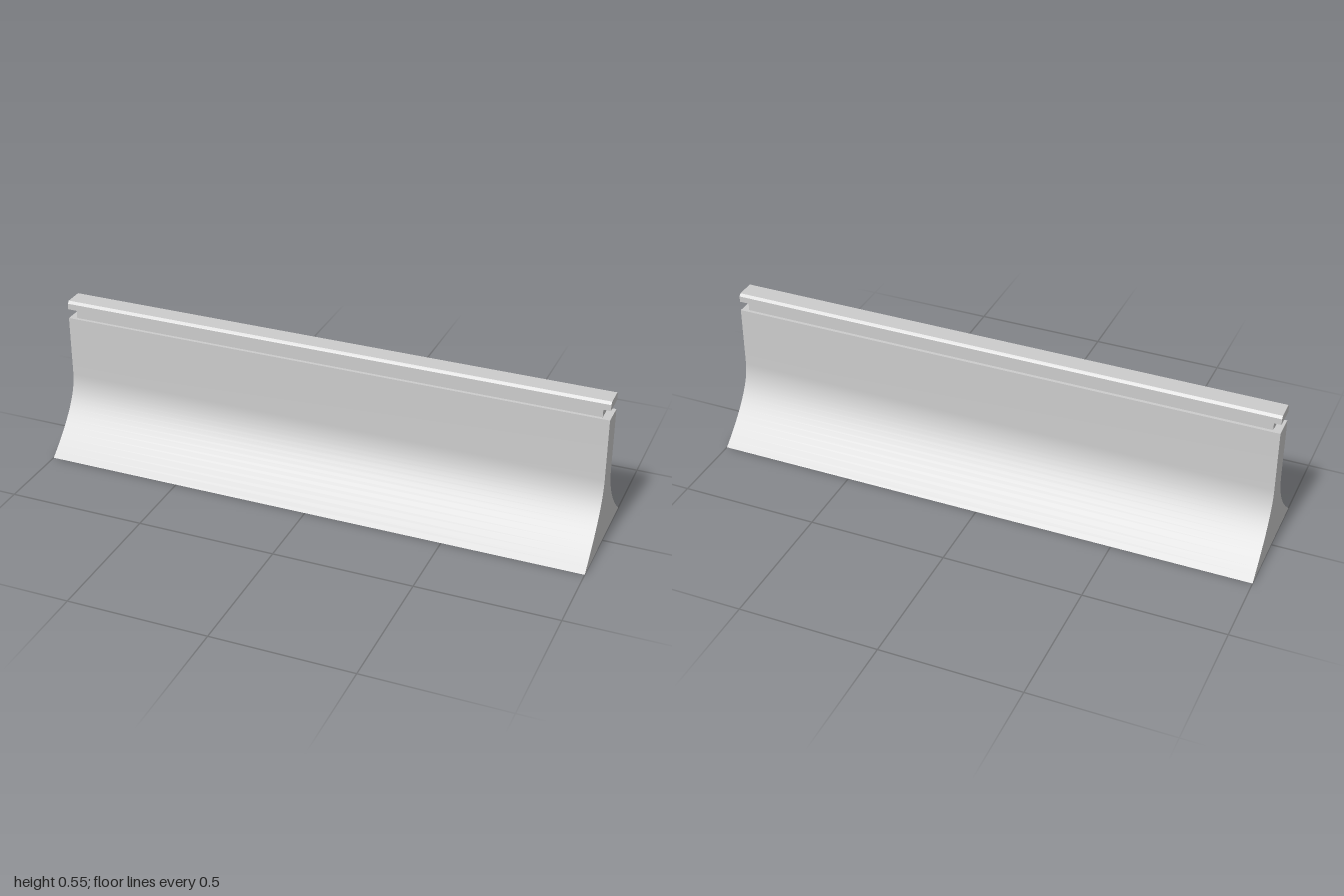
import * as THREE from 'three';
import { toCreasedNormals } from 'three/addons/utils/BufferGeometryUtils.js';

const material = new THREE.MeshStandardMaterial({ color: 0xcccccc });

// Sweep a cross-section (depth, height) along x, centred on x = 0.
function bar(name, points, length) {
  const shape = new THREE.Shape(points);
  const swept = new THREE.ExtrudeGeometry(shape, { depth: length, bevelEnabled: false });
  swept.translate(0, 0, -length / 2).rotateY(Math.PI / 2);
  const mesh = new THREE.Mesh(toCreasedNormals(swept, 0.35), material);
  mesh.name = name;
  return mesh;
}

// Complete a right-hand outline (bottom to top) with its mirrored left half.
function mirrored(half) {
  const left = half.map((p) => new THREE.Vector2(-p.x, p.y)).reverse();
  return [...half, ...left];
}

export function createModel() {
  const group = new THREE.Group();
  group.name = 'flaredRail';
  const v = (x, y) => new THREE.Vector2(x, y);

  // Body: concave flared foot rising into a straight web
  const flare = new THREE.QuadraticBezierCurve(v(0.224, 0), v(0.042, 0.145), v(0.042, 0.26));
  group.add(bar('flaredBody', mirrored([...flare.getPoints(16), v(0.042, 0.487)]), 2));

  // Neck: recessed on every side between body and cap
  const neck = new THREE.Mesh(new THREE.BoxGeometry(1.945, 0.035, 0.06), material);
  neck.name = 'recessedNeck';
  neck.position.y = 0.5045;
  group.add(neck);

  // Cap: strip with chamfered long top edges
  group.add(bar('chamferedCap', mirrored([v(0.042, 0.522), v(0.042, 0.544), v(0.034, 0.553)]), 2));

  return group;
}
